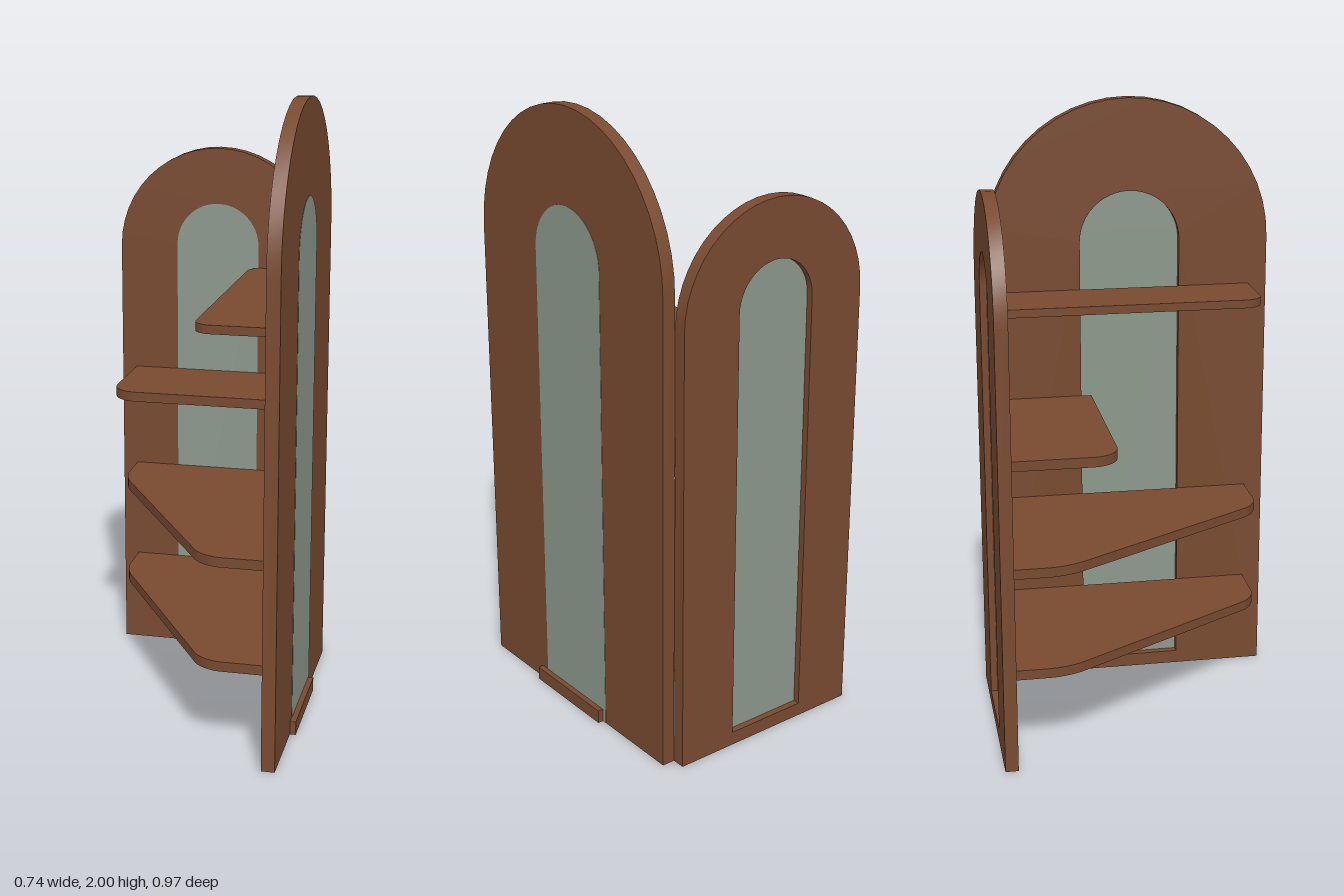
import * as THREE from 'three';
import { toCreasedNormals } from 'three/addons/utils/BufferGeometryUtils.js';

const wood = new THREE.MeshStandardMaterial({ color: 0x784a30 });
wood.name = 'brown wood';
const glass = new THREE.MeshStandardMaterial({ color: 0x8c988c });
glass.name = 'grey green glass';

function extrude(shape, depth, segments = 12) {
  const geo = new THREE.ExtrudeGeometry(shape, { depth, bevelEnabled: false, curveSegments: segments });
  return toCreasedNormals(geo, 0.5);
}

function add(parent, name, geo, material) {
  const mesh = new THREE.Mesh(geo, material);
  mesh.name = name;
  parent.add(mesh);
  return mesh;
}

function box(parent, name, [x0, x1], [y0, y1], [z0, z1]) {
  const mesh = add(parent, name, new THREE.BoxGeometry(x1 - x0, y1 - y0, z1 - z0), wood);
  mesh.position.set((x0 + x1) / 2, (y0 + y1) / 2, (z0 + z1) / 2);
}

// Round-topped frame whose arched opening runs down to the floor
function frameShape(c, r, spring, hc, hr, hSpring) {
  const s = new THREE.Shape();
  s.moveTo(hc + hr, 0);
  s.lineTo(c + r, 0);
  s.absarc(c, spring, r, 0, Math.PI, false);
  s.lineTo(c - r, 0);
  s.lineTo(hc - hr, 0);
  s.absarc(hc, hSpring, hr, Math.PI, 0, true);
  return s;
}

function paneShape(c, r, spring) {
  const s = new THREE.Shape();
  s.moveTo(c - r, 0);
  s.lineTo(c + r, 0);
  s.absarc(c, spring, r, 0, Math.PI, false);
  return s;
}

// Shelf outline from [x, z, corner radius] points
function shelfShape(corners) {
  const s = new THREE.Shape();
  const pts = corners.map(([x, z]) => new THREE.Vector2(x, -z));
  corners.forEach(([, , r], i) => {
    const p = pts[i];
    const toward = (q) => p.clone().add(q.clone().sub(p).setLength(r));
    const a = toward(pts[(i + pts.length - 1) % pts.length]);
    const b = toward(pts[(i + 1) % pts.length]);
    if (i === 0) s.moveTo(a.x, a.y);
    else s.lineTo(a.x, a.y);
    if (r > 0) {
      // Cubic handles that approximate a circular corner
      const h1 = a.clone().lerp(p, 0.55), h2 = b.clone().lerp(p, 0.55);
      s.bezierCurveTo(h1.x, h1.y, h2.x, h2.y, b.x, b.y);
    }
  });
  return s;
}

export function createModel() {
  const model = new THREE.Group();
  model.name = 'cornerShelf';

  // Back panel with a pane recessed from behind
  const back = new THREE.Group();
  back.name = 'backPanel';
  model.add(back);
  add(back, 'backFrame', extrude(frameShape(-0.032, 0.339, 1.437, -0.035, 0.14, 1.45), 0.042), wood)
    .position.z = -0.487;
  add(back, 'backPane', extrude(paneShape(-0.035, 0.14, 1.45), 0.02), glass).position.z = -0.465;
  box(back, 'backSill', [-0.175, 0.105], [0, 0.045], [-0.487, -0.444]);

  // Taller side panel, its pane flush with the outside
  const side = new THREE.Group();
  side.name = 'sidePanel';
  model.add(side);
  const turned = (shape, depth, segments) => extrude(shape, depth, segments).rotateY(-Math.PI / 2);
  add(side, 'sideFrame', turned(frameShape(0.021, 0.465, 1.535, 0.025, 0.165, 1.535), 0.043), wood)
    .position.x = 0.35;
  add(side, 'sidePane', turned(paneShape(0.025, 0.165, 1.535), 0.02, 16), glass).position.x = 0.351;
  box(side, 'sideSill', [0.307, 0.369], [0, 0.045], [-0.125, 0.22]);

  // Shelves
  const wide = shelfShape([
    [0.307, -0.445, 0], [-0.322, -0.445, 0], [-0.322, -0.275, 0.06],
    [0.105, 0.425, 0.06], [0.307, 0.425, 0],
  ]);
  const shallow = shelfShape([
    [0.307, -0.445, 0], [-0.322, -0.445, 0], [-0.322, -0.106, 0.085], [0.307, -0.106, 0],
  ]);
  const narrow = shelfShape([
    [0.307, -0.445, 0], [0.077, -0.445, 0.045], [0.077, 0.425, 0.055], [0.307, 0.425, 0],
  ]);
  const shelves = [
    ['lowerShelf', wide, 0.29, 0.032],
    ['middleShelf', wide, 0.63, 0.032],
    ['upperShelf', shallow, 0.98, 0.032],
    ['topShelf', narrow, 1.35, 0.027],
  ];
  for (const [name, shape, y, thickness] of shelves) {
    add(model, name, extrude(shape, thickness).rotateX(-Math.PI / 2), wood).position.y = y;
  }
  return model;
}
